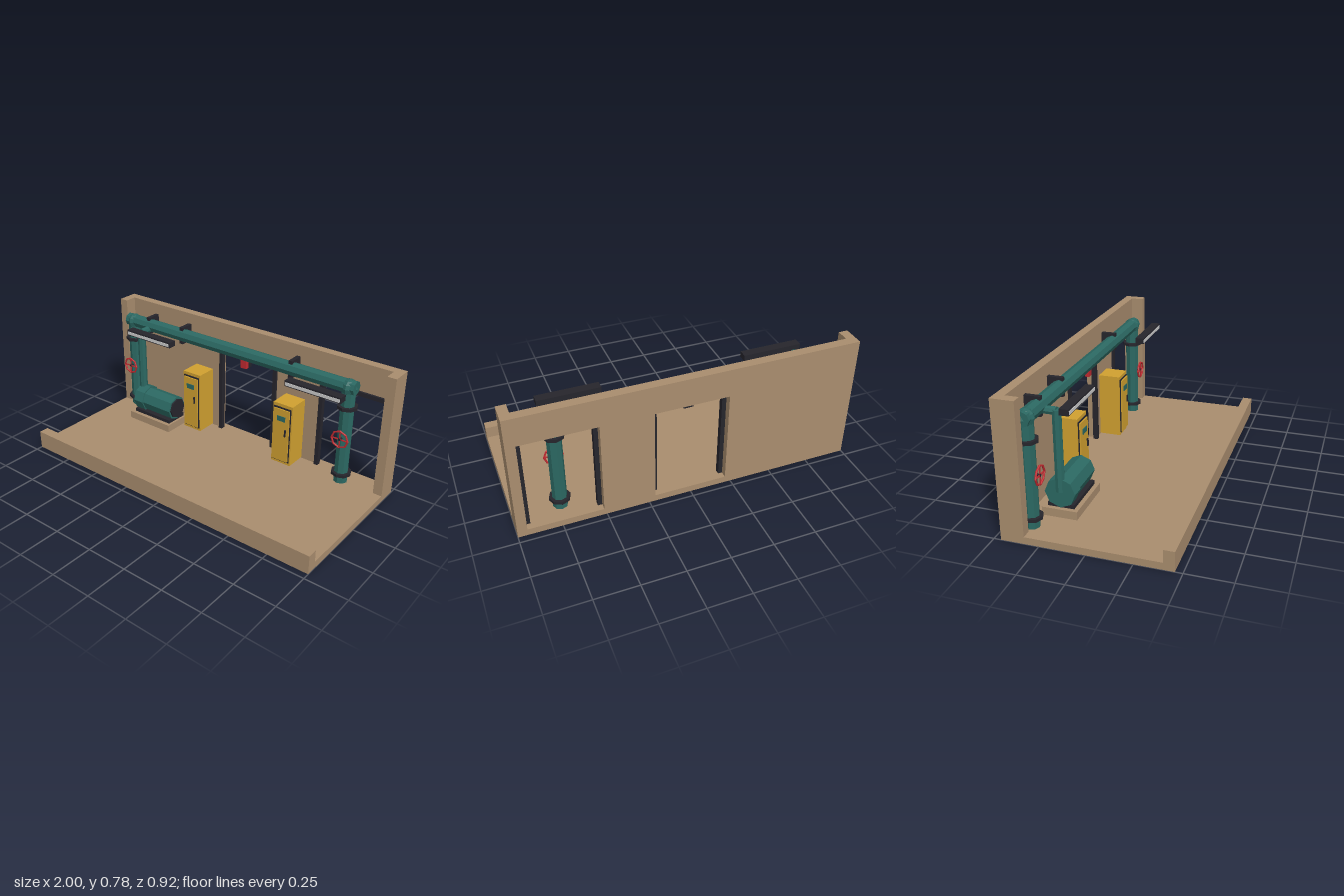
import * as THREE from 'three';

const mat = (color) => new THREE.MeshStandardMaterial({ color, flatShading: true });

export function createModel() {
  const root = new THREE.Group();
  const tan = mat(0xa98d6e), teal = mat(0x2b6862), dark = mat(0x26252c);
  const yellow = mat(0xd0a030), red = mat(0xc02a30), grey = mat(0xcccccc);

  const add = (name, geo, material, parent = root) => {
    const mesh = new THREE.Mesh(geo, material);
    mesh.name = name;
    parent.add(mesh);
    return mesh;
  };
  // Box given by its minimum and maximum corners
  const box = (name, a, b, material, parent) => {
    const geo = new THREE.BoxGeometry(b[0] - a[0], b[1] - a[1], b[2] - a[2]);
    geo.translate((a[0] + b[0]) / 2, (a[1] + b[1]) / 2, (a[2] + b[2]) / 2);
    return add(name, geo, material, parent);
  };
  // Octagonal cylinder between two points
  const pipe = (name, a, b, r, material, parent) => {
    const p = new THREE.Vector3(...a), q = new THREE.Vector3(...b);
    const d = q.clone().sub(p);
    const mesh = add(name, new THREE.CylinderGeometry(r, r, d.length(), 8), material, parent);
    mesh.quaternion.setFromUnitVectors(new THREE.Vector3(0, 1, 0), d.normalize());
    mesh.position.copy(p.add(q).multiplyScalar(0.5));
    return mesh;
  };
  const group = (name) => {
    const g = new THREE.Group();
    g.name = name;
    root.add(g);
    return g;
  };

  // Floor slab, front curb and end pillars
  box('floor', [-1, 0, -0.46], [1, 0.04, 0.46], tan);
  box('frontCurb', [-1, 0.04, 0.4], [1, 0.112, 0.46], tan);
  for (const s of [-1, 1]) {
    const x = [s * 0.945, s].sort((a, b) => a - b);
    box('endPillar', [x[0], 0.04, -0.46], [x[1], 0.78, -0.33], tan);
  }

  // Back wall with two doorways
  const doors = [0, 0.73], halfDoor = 0.215, doorTop = 0.61;
  const wall = new THREE.Shape();
  wall.moveTo(-0.945, 0.04);
  for (const x of doors) {
    wall.lineTo(x - halfDoor, 0.04);
    wall.lineTo(x - halfDoor, doorTop);
    wall.lineTo(x + halfDoor, doorTop);
    wall.lineTo(x + halfDoor, 0.04);
  }
  wall.lineTo(0.945, 0.78);
  wall.lineTo(-0.945, 0.78);
  const wallGeo = new THREE.ExtrudeGeometry(wall, { depth: 0.055, bevelEnabled: false });
  wallGeo.translate(0, 0, -0.46);
  add('backWall', wallGeo, tan);

  // Door frames
  for (const x of doors) {
    const g = group('doorFrame'), t = 0.025;
    for (const s of [-1, 1]) {
      const c = x + s * (halfDoor - t / 2);
      box('doorJamb', [c - t / 2, 0.04, -0.42], [c + t / 2, doorTop, -0.39], dark, g);
    }
    box('doorLintel', [x - halfDoor, doorTop - t, -0.42], [x + halfDoor, doorTop, -0.39], dark, g);
  }

  // Main header pipe with wall brackets
  const pz = -0.335, py = 0.655;
  pipe('headerPipe', [-0.93, py, pz], [0.775, py, pz], 0.042, teal);
  for (const x of [-0.745, -0.465, 0.355]) {
    box('pipeBracket', [x - 0.0125, 0.6, -0.405], [x + 0.0125, 0.71, -0.315], dark);
  }

  // Vertical pipes with flanges and handwheels
  for (const x of [-0.885, 0.73]) {
    const g = group('verticalPipe');
    pipe('pipeBody', [x, 0.04, pz], [x, py, pz], 0.042, teal, g);
    add('elbow', new THREE.SphereGeometry(0.05, 8, 6), teal, g).position.set(x, 0.65, pz);
    for (const y of [0.098, 0.531]) {
      pipe('flange', [x, y - 0.009, pz], [x, y + 0.009, pz], 0.061, dark, g);
    }
    add('wheelRim', new THREE.TorusGeometry(0.052, 0.006, 6, 8), red, g).position.set(x, 0.343, -0.276);
    box('wheelSpoke', [x - 0.05, 0.34, -0.279], [x + 0.05, 0.346, -0.273], red, g);
    box('wheelSpoke', [x - 0.003, 0.293, -0.279], [x + 0.003, 0.393, -0.273], red, g);
    pipe('wheelStem', [x, 0.343, -0.32], [x, 0.343, -0.272], 0.008, dark, g);
  }

  // Pump on its plinth, with the riser joining the header
  const pump = group('pump'), my = 0.175, mz = -0.236;
  box('plinth', [-0.77, 0.04, -0.335], [-0.435, 0.088, -0.135], tan, pump);
  box('basePlate', [-0.745, 0.088, -0.31], [-0.45, 0.11, -0.16], dark, pump);
  pipe('pumpCasing', [-0.75, my, mz], [-0.675, my, mz], 0.086, teal, pump);
  pipe('motor', [-0.675, my, mz], [-0.447, my, mz], 0.078, teal, pump);
  pipe('motorCap', [-0.447, my, mz], [-0.437, my, mz], 0.066, dark, pump);
  pipe('riser', [-0.735, 0.18, -0.238], [-0.735, 0.645, -0.238], 0.026, teal, pump);
  pipe('riserLink', [-0.735, 0.636, -0.238], [-0.735, 0.636, pz], 0.023, teal, pump);

  // Control cabinets
  for (const x of [-0.343, 0.35]) {
    const g = group('cabinet');
    box('cabinetBody', [x - 0.067, 0.044, -0.405], [x + 0.067, 0.445, -0.27], yellow, g);
    box('doorSeal', [x - 0.059, 0.062, -0.27], [x + 0.059, 0.425, -0.264], dark, g);
    box('cabinetDoor', [x - 0.054, 0.07, -0.264], [x + 0.054, 0.416, -0.256], yellow, g);
    box('display', [x - 0.028, 0.34, -0.256], [x + 0.028, 0.372, -0.252], teal, g);
    box('handle', [x + 0.029, 0.245, -0.256], [x + 0.037, 0.29, -0.247], dark, g);
  }

  // Hanging lamps
  for (const x of [-0.602, 0.6]) {
    const g = group('lamp');
    box('lampHousing', [x - 0.178, 0.634, -0.206], [x + 0.178, 0.669, -0.154], dark, g);
    box('lampPanel', [x - 0.172, 0.64, -0.156], [x + 0.172, 0.659, -0.151], grey, g);
  }

  // Warning beacon over the centre door
  box('beaconBase', [-0.028, 0.553, -0.4], [0.028, 0.615, -0.375], dark);
  box('beaconLight', [-0.021, 0.548, -0.375], [0.021, 0.608, -0.35], red);

  return root;
}
